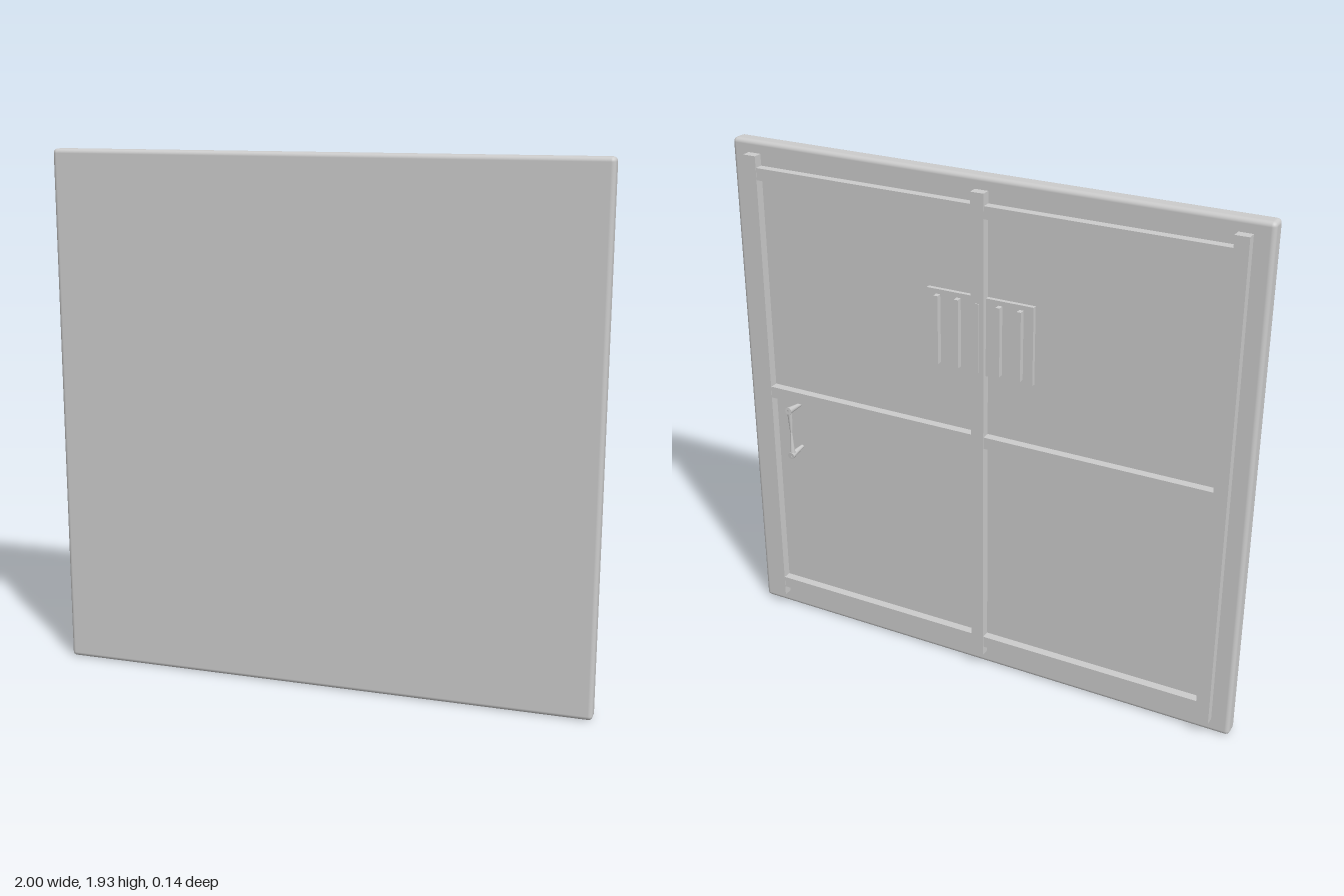
import * as THREE from 'three';
import { RoundedBoxGeometry } from 'three/addons/geometries/RoundedBoxGeometry.js';

const grey = new THREE.MeshStandardMaterial({ color: 0xcccccc });
grey.name = 'grey';

const BACK = 0.008; // rear surface of the panel
const H = 1.93;

export function createModel() {
  const model = new THREE.Group();
  model.name = 'hatch';

  const add = (name, geometry, x, y, z, parent = model) => {
    const mesh = new THREE.Mesh(geometry, grey);
    mesh.name = name;
    mesh.position.set(x, y, z);
    parent.add(mesh);
    return mesh;
  };
  // box standing on the rear surface, reaching back by depth
  const onBack = (name, x, y, w, h, depth, parent) =>
    add(name, new THREE.BoxGeometry(w, h, depth), x, y, BACK - depth / 2, parent);

  // main slab with softened edges
  add('panel', new RoundedBoxGeometry(2, H, 0.064, 3, 0.016), 0, H / 2, 0.04);

  // bracing frame
  const frame = new THREE.Group();
  frame.name = 'frame';
  model.add(frame);
  for (const x of [-0.907, 0, 0.907]) onBack('uprightBar', x, 0.97, 0.05, 1.83, 0.034, frame);
  for (const y of [0.115, 0.967, 1.82]) onBack('crossBar', 0, y, 1.8, 0.045, 0.032, frame);

  // vent plate with raised slats
  const vent = new THREE.Group();
  vent.name = 'vent';
  model.add(vent);
  onBack('ventPlate', 0, 1.367, 0.41, 0.29, 0.016, vent);
  for (let i = -2; i <= 2; i++) onBack('ventSlat', i * 0.08, 1.367, 0.016, 0.255, 0.037, vent);

  // pull handle: two tapered posts and a grip pinched at its middle
  const handle = new THREE.Group();
  handle.name = 'handle';
  handle.position.set(0.778, 0.835, 0);
  model.add(handle);
  for (const s of [1, -1]) {
    const post = add('handlePost', new THREE.CylinderGeometry(0.007, 0.014, 0.078, 12), 0, s * 0.092, -0.032, handle);
    post.rotation.x = Math.PI / 2 + s * 0.08;
    const grip = add('handleGrip', new THREE.CylinderGeometry(0.012, 0.004, 0.1, 12), 0, s * 0.05, -0.06, handle);
    if (s < 0) grip.rotation.x = Math.PI;
  }
  return model;
}
